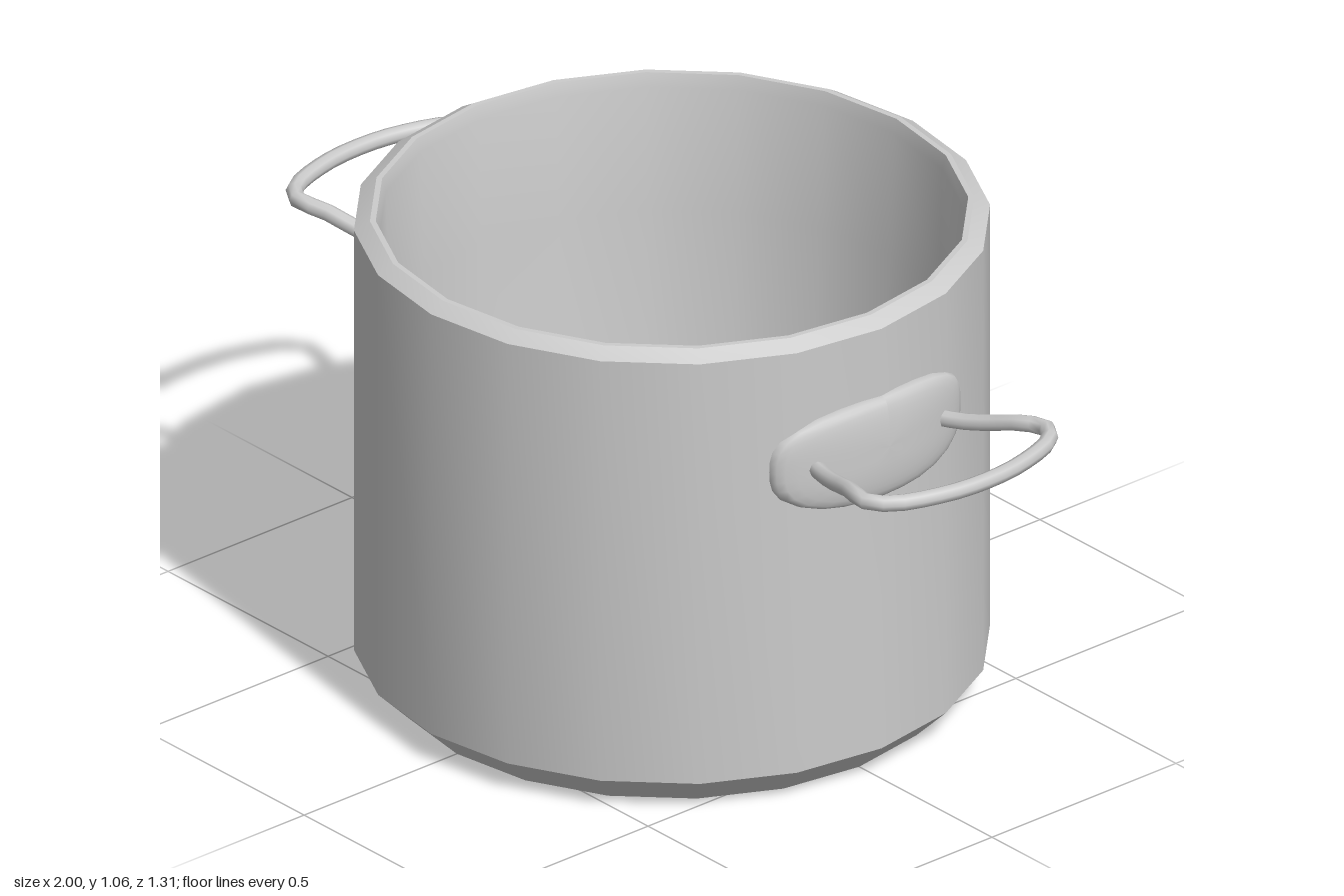
import * as THREE from 'three';
import { toCreasedNormals } from 'three/addons/utils/BufferGeometryUtils.js';

const material = new THREE.MeshStandardMaterial({ color: 0xcccccc });
const WALL = 0.65;

function part(name, geometry) {
  const mesh = new THREE.Mesh(geometry, material);
  mesh.name = name;
  return mesh;
}

// Pot wall, chamfered base, rim and tapered inside as one 20-sided profile
function potBody() {
  const profile = [
    [0, 0], [0.585, 0], [0.655, 0.07], [0.655, 1.04], [0.622, 1.06],
    [0.61, 1.06], [0.602, 1.03], [0.595, 0.75], [0.52, 0.07], [0, 0.07],
  ].map(([r, y]) => new THREE.Vector2(r, y));
  return toCreasedNormals(new THREE.LatheGeometry(profile, 20), 0.55);
}

// Domed, rounded plate bent around the pot wall
function plate() {
  const geometry = new THREE.SphereGeometry(1, 32, 16);
  geometry.rotateZ(-Math.PI / 2); // pole towards +x
  const p = geometry.attributes.position;
  for (let i = 0; i < p.count; i++) {
    const x = p.getX(i), y = p.getY(i), z = p.getZ(i);
    const radius = Math.hypot(y, z), a = Math.atan2(y, z);
    // superellipse outline, flat face with a soft edge
    const c = Math.cos(a), s = Math.sin(a);
    const k = radius / Math.pow(Math.abs(c) ** 3 + Math.abs(s) ** 3, 1 / 3);
    const pz = 0.255 * k * c;
    const py = 0.772 + 0.108 * k * s + 0.006 * (1 - (k * c) ** 2) * s;
    const bulge = Math.sign(x) * Math.sqrt(Math.abs(x)) * 0.032;
    p.setXYZ(i, Math.sqrt(WALL * WALL - pz * pz) + bulge, py, pz);
  }
  geometry.computeVertexNormals();
  return geometry;
}

// Bent loop of rod rising slightly away from the pot
function grip() {
  const half = [
    [0.63, 0.772, 0.165], [0.69, 0.777, 0.185], [0.75, 0.79, 0.205],
    [0.82, 0.81, 0.228], [0.885, 0.817, 0.247], [0.93, 0.817, 0.215],
    [0.972, 0.817, 0.1],
  ];
  const points = [
    ...half,
    [0.982, 0.817, 0],
    ...half.map(([x, y, z]) => [x, y, -z]).reverse(),
  ].map((v) => new THREE.Vector3(...v));
  const curve = new THREE.CatmullRomCurve3(points, false, 'centripetal');
  return new THREE.TubeGeometry(curve, 28, 0.018, 8);
}

export function createModel() {
  const pot = new THREE.Group();
  pot.name = 'cookingPot';
  pot.add(part('body', potBody()));

  const plateGeometry = plate(), gripGeometry = grip();
  for (const side of ['left', 'right']) {
    const handle = new THREE.Group();
    handle.name = side + 'Handle';
    handle.add(part('mountingPlate', plateGeometry), part('grip', gripGeometry));
    if (side === 'right') handle.rotation.y = Math.PI;
    pot.add(handle);
  }
  return pot;
}
